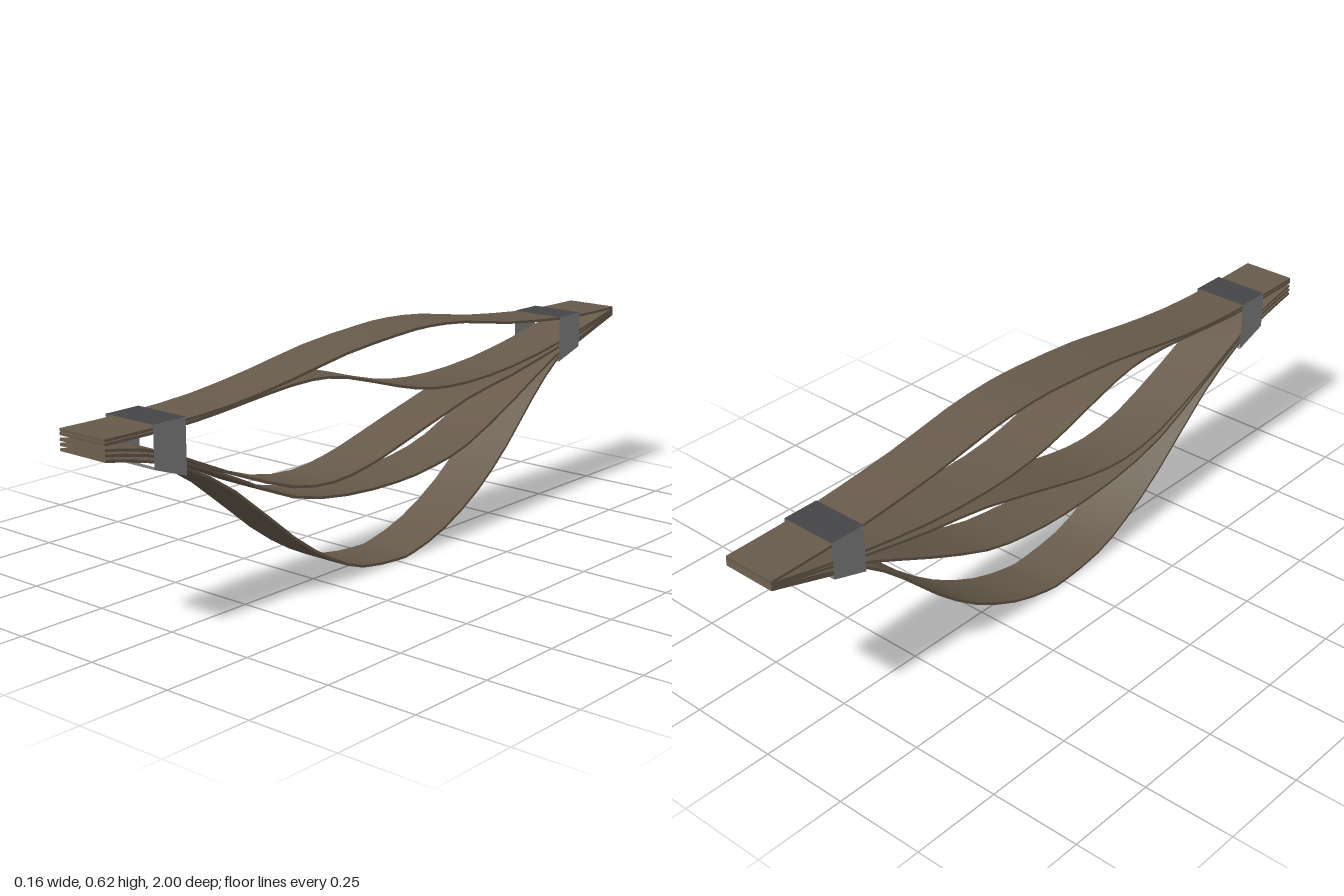
import * as THREE from 'three';
import { toCreasedNormals } from 'three/addons/utils/BufferGeometryUtils.js';

const WIDTH = 0.151, THICK = 0.007;

// A flat strip following a side profile of [z, y] points, extruded across x
function strapGeometry(points) {
  const curve = new THREE.SplineCurve(points.map(([z, y]) => new THREE.Vector2(z, y)));
  const samples = curve.getPoints((points.length - 1) * 2);
  const upper = [], lower = [];
  samples.forEach((p, i) => {
    const a = samples[Math.max(i - 1, 0)], b = samples[Math.min(i + 1, samples.length - 1)];
    const t = b.clone().sub(a).normalize().multiplyScalar(THICK / 2);
    upper.push(new THREE.Vector2(p.x - t.y, p.y + t.x));
    lower.unshift(new THREE.Vector2(p.x + t.y, p.y - t.x));
  });
  const shape = new THREE.Shape([...upper, ...lower]);
  const geo = new THREE.ExtrudeGeometry(shape, { depth: WIDTH, bevelEnabled: false });
  geo.translate(0, 0, -WIDTH / 2);
  geo.rotateY(-Math.PI / 2); // profile x becomes z
  return toCreasedNormals(geo, 0.6);
}

// A single four-cornered sheet
function sheet(corners) {
  const geo = new THREE.BufferGeometry();
  geo.setAttribute('position', new THREE.Float32BufferAttribute(corners.flat(), 3));
  geo.setIndex([0, 1, 2, 0, 2, 3]);
  geo.computeVertexNormals();
  return geo;
}

export function createModel() {
  const model = new THREE.Group();
  model.name = 'strapBundle';

  const strapMat = new THREE.MeshStandardMaterial({ color: 0x675a4b });
  strapMat.name = 'brownStrap';
  const clipMat = new THREE.MeshStandardMaterial({ color: 0x808082, side: THREE.DoubleSide });
  clipMat.name = 'greyClip';
  const clipTopMat = new THREE.MeshStandardMaterial({ color: 0x454547, side: THREE.DoubleSide });
  clipTopMat.name = 'darkClipTop';

  // Straps from top to bottom, each running from the front end to the back end
  const profiles = {
    topStrap: [[1, 0.536], [0.8, 0.534], [0.6, 0.542], [0.4, 0.566], [0.2, 0.597], [0, 0.613],
      [-0.13, 0.616], [-0.28, 0.604], [-0.48, 0.571], [-0.72, 0.546], [-0.85, 0.539], [-1, 0.537]],
    secondStrap: [[1, 0.527], [0.8, 0.525], [0.65, 0.532], [0.48, 0.547], [0.33, 0.553], [0.2, 0.536],
      [0, 0.478], [-0.14, 0.446], [-0.3, 0.435], [-0.5, 0.444], [-0.75, 0.48], [-1, 0.533]],
    middleStrap: [[1, 0.514], [0.88, 0.49], [0.76, 0.445], [0.6, 0.372], [0.4, 0.296], [0.25, 0.275], [0.12, 0.288],
      [0, 0.315], [-0.3, 0.39], [-0.5, 0.42], [-0.75, 0.468], [-1, 0.528]],
    fourthStrap: [[1, 0.502], [0.88, 0.478], [0.76, 0.435], [0.6, 0.362], [0.4, 0.27], [0.2, 0.23], [0, 0.22],
      [-0.15, 0.23], [-0.3, 0.26], [-0.5, 0.342], [-0.7, 0.435], [-0.82, 0.47], [-1, 0.524]],
    bottomStrap: [[1, 0.49], [0.88, 0.464], [0.76, 0.423], [0.6, 0.328], [0.4, 0.165], [0.26, 0.073],
      [0.14, 0.022], [0, 0.005], [-0.07, 0.009], [-0.2, 0.044], [-0.35, 0.12], [-0.48, 0.22],
      [-0.6, 0.335], [-0.72, 0.43], [-0.83, 0.466], [-1, 0.518]],
  };
  for (const [name, points] of Object.entries(profiles)) {
    const strap = new THREE.Mesh(strapGeometry(points), strapMat);
    strap.name = name;
    model.add(strap);
  }

  // Open-ended clips with a sloping underside; f = front edge, b = back edge
  const clips = [
    { name: 'frontClip', f: 0.86, b: 0.76, top: 0.545, lowF: 0.44, lowB: 0.405 },
    { name: 'backClip', f: -0.72, b: -0.82, top: 0.55, lowF: 0.42, lowB: 0.45 },
  ];
  const X = 0.079;
  for (const { name, f, b, top, lowF, lowB } of clips) {
    const clip = new THREE.Group();
    clip.name = name;
    const add = (part, mat, corners) => {
      const mesh = new THREE.Mesh(sheet(corners), mat);
      mesh.name = part;
      clip.add(mesh);
    };
    add('clipTop', clipTopMat, [[-X, top, f], [X, top, f], [X, top, b], [-X, top, b]]);
    add('clipBottom', clipMat, [[-X, lowB, b], [X, lowB, b], [X, lowF, f], [-X, lowF, f]]);
    add('clipLeftSide', clipMat, [[X, lowF, f], [X, lowB, b], [X, top, b], [X, top, f]]);
    add('clipRightSide', clipMat, [[-X, lowB, b], [-X, lowF, f], [-X, top, f], [-X, top, b]]);
    model.add(clip);
  }
  return model;
}
